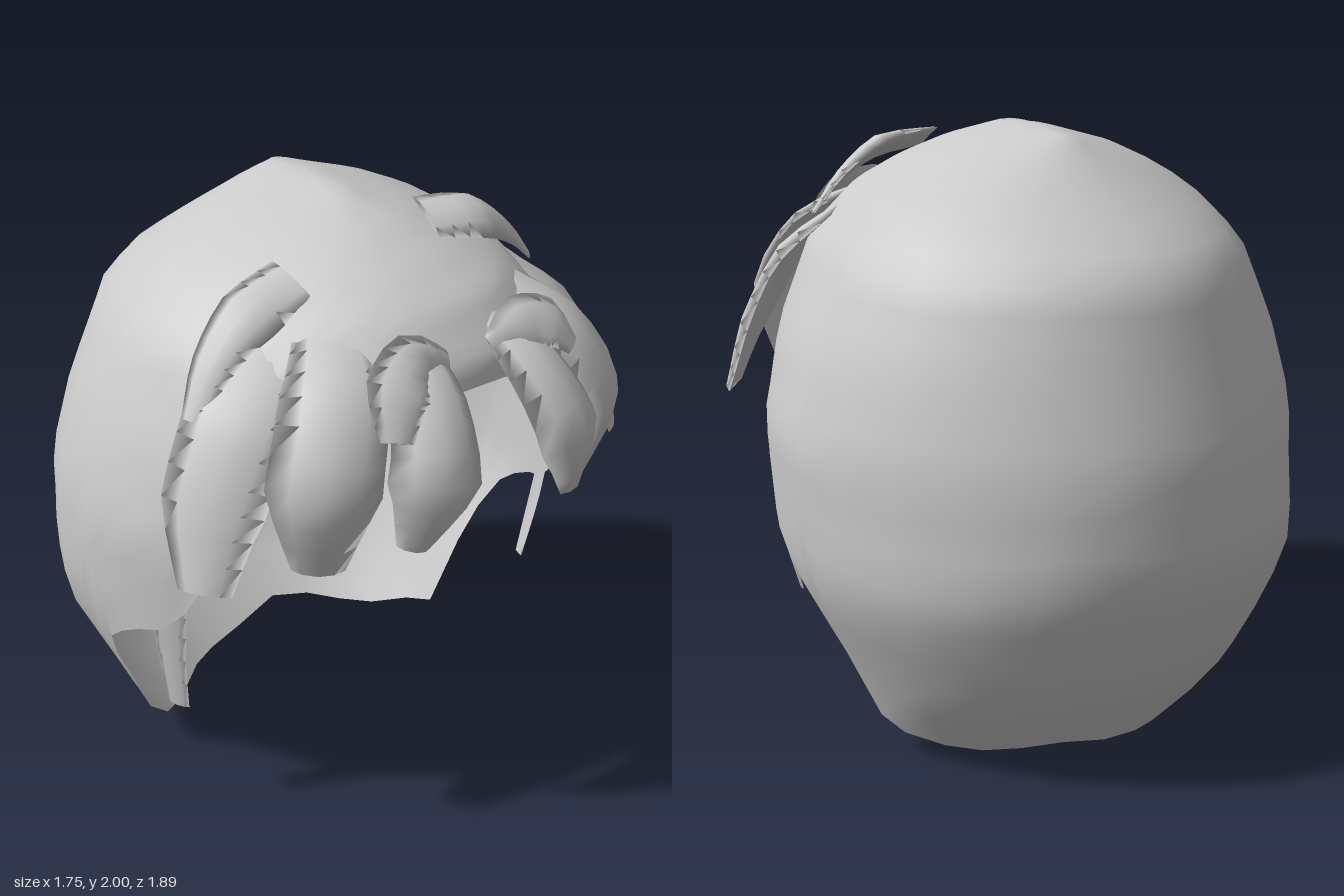
import * as THREE from 'three';

const material = new THREE.MeshStandardMaterial({ color: 0xcccccc, side: THREE.DoubleSide });
const { lerp, smoothstep, degToRad } = THREE.MathUtils;

// Skull cross-sections: [y, half width, front z, back z]
const RINGS = [
  [2.0, 0, -0.1, -0.1], [1.99, 0.06, 0.1, -0.27], [1.93, 0.26, 0.3, -0.36],
  [1.86, 0.41, 0.46, -0.456], [1.78, 0.54, 0.6, -0.57], [1.64, 0.68, 0.72, -0.77],
  [1.36, 0.805, 0.77, -0.855], [1.08, 0.88, 0.79, -0.94], [0.72, 0.86, 0.74, -0.945],
  [0.6, 0.835, 0.7, -0.89], [0.32, 0.70, 0.6, -0.78], [0.09, 0.60, 0.4, -0.58], [0, 0.46, 0.3, -0.5],
];
// Hairline height by angle from the front, in degrees: shared face edge, then each nape
const FACE = [
  [0, 1.57], [8, 1.565], [15, 1.54], [23, 1.5], [32, 1.47], [40, 1.38], [47, 1.22], [54, 1.06],
  [62, 0.85], [68, 0.76], [74, 0.73], [80, 0.68], [85, 0.62], [89, 0.5], [91, 0.36],
];
const NAPE_LEFT = [[94, 0.12], [106, 0.09], [120, 0.06], [135, 0.06], [150, 0.08], [164, 0.09]];
const NAPE_RIGHT = [[94, 0.18], [106, 0.05], [120, 0.01], [135, 0], [150, 0.01], [164, 0.02]];

function meshFrom(name, positions, indices) {
  const geometry = new THREE.BufferGeometry();
  geometry.setAttribute('position', new THREE.Float32BufferAttribute(positions, 3));
  geometry.setIndex(indices);
  geometry.computeVertexNormals();
  const mesh = new THREE.Mesh(geometry, material);
  mesh.name = name;
  return mesh;
}

// Point on the skull at a height and an angle from the front
function skullPoint(y, degrees) {
  let i = 0;
  while (i < RINGS.length - 2 && y < RINGS[i + 1][0]) i++;
  const a = RINGS[i], b = RINGS[i + 1];
  const k = (a[0] - y) / (a[0] - b[0]);
  const [w, front, back] = [1, 2, 3].map((n) => lerp(a[n], b[n], k));
  const angle = degToRad(degrees);
  const c = Math.cos(angle), s = Math.sin(angle);
  const side = (power) => w * Math.sign(s) * Math.pow(Math.abs(s), power);
  // Fuller at the upper front
  if (c > 0) return [side(1 - 0.12 * smoothstep(y, 1.1, 1.35)), y, -0.1 + (front + 0.1) * c];
  // Pinched at the upper back, fuller towards the nape
  const pinch = 0.95 + 0.15 * smoothstep(y, 0.5, 1.1);
  return [side(pinch), y, -0.1 + (back + 0.1) * Math.pow(-c, pinch)];
}

// Open shell: columns run from the crown down to the hairline
function createCap() {
  const left = [...FACE, ...NAPE_LEFT, [180, 0.04]];
  const right = [...FACE.slice(1), ...NAPE_RIGHT].reverse().map(([a, y]) => [-a, y]);
  const columns = [...left, ...right];
  const rows = 22, n = columns.length;
  const positions = [0, 2, -0.1], indices = [];
  columns.forEach(([angle, edge]) => {
    for (let r = 1; r <= rows; r++) {
      positions.push(...skullPoint(2 - (2 - edge) * Math.pow(r / rows, 1.6), angle));
    }
  });
  for (let c = 0; c < n; c++) {
    const p = 1 + c * rows, q = 1 + ((c + 1) % n) * rows;
    indices.push(0, p, q);
    for (let r = 0; r < rows - 1; r++) {
      indices.push(p + r, p + r + 1, q + r, q + r, p + r + 1, q + r + 1);
    }
  }
  return meshFrom('hairCap', positions, indices);
}

// Lens-shaped strand along a path of [x, y, z, half width, thickness]
const SECTION = [[-1, 0], [-0.6, 0.7], [0, 1], [0.6, 0.7], [1, 0], [0, 0.1]];

function createLock(name, path, side = 1) {
  const curve = new THREE.CatmullRomCurve3(path.map(([x, y, z]) => new THREE.Vector3(x * side, y, z)));
  const steps = (path.length - 1) * 3, m = SECTION.length;
  const positions = [], indices = [];
  for (let i = 0; i <= steps; i++) {
    const t = i / steps;
    const p = curve.getPoint(t), tangent = curve.getTangent(t);
    const k = Math.min(Math.floor(t * (path.length - 1)), path.length - 2);
    const f = t * (path.length - 1) - k;
    const width = lerp(path[k][3], path[k + 1][3], f);
    const thick = lerp(path[k][4], path[k + 1][4], f);
    const outward = new THREE.Vector3(p.x, p.y - 1.2, p.z + 0.1);
    const across = new THREE.Vector3().crossVectors(outward, tangent).normalize();
    const up = new THREE.Vector3().crossVectors(tangent, across).normalize();
    SECTION.forEach(([u, v]) => {
      const q = p.clone().addScaledVector(across, u * width).addScaledVector(up, v * thick);
      positions.push(q.x, q.y, q.z);
    });
  }
  for (let i = 0; i < steps; i++) {
    for (let j = 0; j < m; j++) {
      const a = i * m + j, b = i * m + (j + 1) % m;
      indices.push(a, a + m, b, b, a + m, b + m);
    }
  }
  // Blunt tip with its own vertices so the cut stays sharp
  const base = positions.length / 3;
  positions.push(...positions.slice(-m * 3));
  for (let j = 1; j < m - 1; j++) indices.push(base, base + j + 1, base + j);
  return meshFrom(name, positions, indices);
}

// Strands shared by both sides; every root is sunk into the cap
const PAIRED = {
  InnerBang: [[0.15, 1.72, 0.6, 0.07, 0.02], [0.2, 1.6, 0.76, 0.12, 0.05],
    [0.26, 1.4, 0.87, 0.15, 0.07], [0.31, 1.19, 0.84, 0.055, 0.03]],
  MiddleBang: [[0.32, 1.74, 0.46, 0.11, 0.02], [0.43, 1.61, 0.62, 0.16, 0.06],
    [0.53, 1.38, 0.7, 0.17, 0.08], [0.52, 1.1, 0.66, 0.08, 0.03]],
};
// Strands that differ from side to side
const LEFT = {
  OuterBang: [[0.44, 1.73, 0.32, 0.12, 0.02], [0.61, 1.54, 0.43, 0.17, 0.06],
    [0.73, 1.32, 0.46, 0.16, 0.06], [0.8, 1.11, 0.51, 0.085, 0.03]],
  FrontCurl: [[0.09, 1.66, 0.7, 0.04, 0.01], [0.2, 1.7, 0.69, 0.09, 0.04],
    [0.31, 1.68, 0.71, 0.09, 0.03], [0.37, 1.61, 0.75, 0.04, 0.015]],
  CrownTuft: [[0.17, 1.92, 0.29, 0.09, 0.02], [0.34, 1.89, 0.3, 0.1, 0.05],
    [0.48, 1.81, 0.3, 0.07, 0.03], [0.59, 1.7, 0.3, 0.03, 0.01]],
  Sideburn: [[0.79, 0.95, 0.25, 0.05, 0.01], [0.78, 0.72, 0.22, 0.04, 0.01],
    [0.715, 0.47, 0.217, 0.025, 0.008]],
};
const RIGHT = {
  OuterBang: [[0.44, 1.73, 0.32, 0.12, 0.02], [0.63, 1.53, 0.43, 0.17, 0.06],
    [0.75, 1.3, 0.46, 0.16, 0.06], [0.82, 1.06, 0.51, 0.085, 0.03]],
  FrontCurl: [[0.08, 1.66, 0.7, 0.04, 0.01], [0.21, 1.7, 0.7, 0.09, 0.04],
    [0.31, 1.66, 0.76, 0.1, 0.03], [0.36, 1.54, 0.82, 0.05, 0.015]],
  CrownTuft: [[0.34, 1.85, 0.3, 0.09, 0.02], [0.5, 1.78, 0.3, 0.1, 0.05],
    [0.64, 1.67, 0.32, 0.07, 0.03], [0.74, 1.53, 0.35, 0.035, 0.01]],
  Sideburn: [[0.78, 1.0, 0.27, 0.06, 0.01], [0.77, 0.74, 0.22, 0.06, 0.01],
    [0.735, 0.44, 0.2, 0.04, 0.008]],
};

export function createModel() {
  const group = new THREE.Group();
  group.name = 'hair';
  group.add(createCap());
  [['left', 1, LEFT], ['right', -1, RIGHT]].forEach(([prefix, side, own]) => {
    Object.entries({ ...PAIRED, ...own }).forEach(([name, path]) => {
      group.add(createLock(prefix + name, path, side));
    });
  });
  return group;
}
